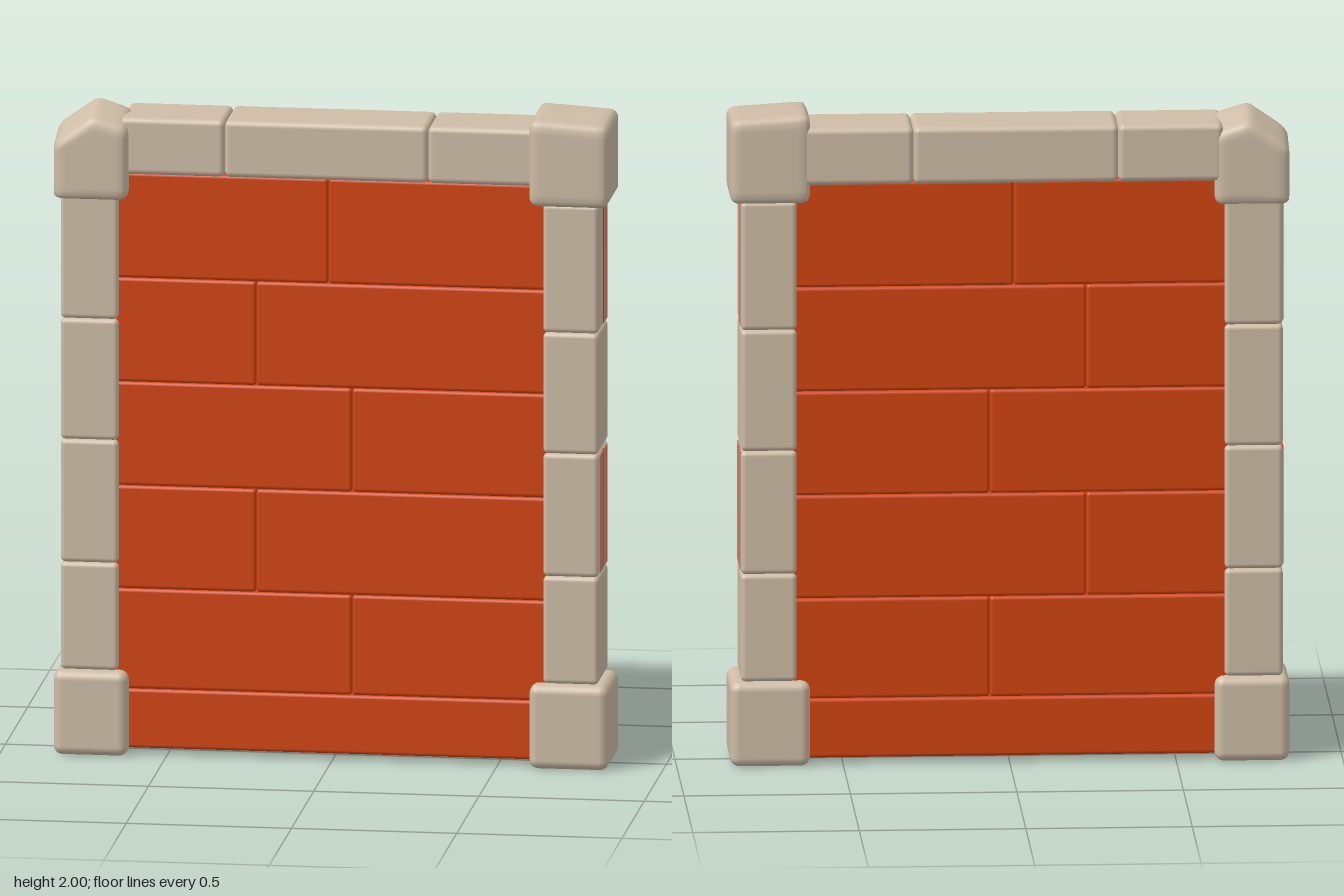
import * as THREE from 'three';
import { mergeVertices } from 'three/addons/utils/BufferGeometryUtils.js';
import { RoundedBoxGeometry } from 'three/addons/geometries/RoundedBoxGeometry.js';

export function createModel() {
  const model = new THREE.Group();
  model.name = 'brickWallPanel';

  const mat = (name, color) => {
    const m = new THREE.MeshStandardMaterial({ color });
    m.name = name;
    return m;
  };
  const stone = mat('paleStone', 0xcebca6);
  const brick = mat('orangeBrick', 0xd04410);
  const faded = mat('fadedBrick', 0xce8468);

  const add = (name, geometry, material) => {
    const mesh = new THREE.Mesh(geometry, material);
    mesh.name = name;
    model.add(mesh);
    return mesh;
  };

  // Rounded block given by its extents on each axis
  const block = (name, material, [x0, x1], [y0, y1], [z0, z1], r) => {
    const mesh = add(name, new RoundedBoxGeometry(x1 - x0, y1 - y0, z1 - z0, 3, r), material);
    mesh.position.set((x0 + x1) / 2, (y0 + y1) / 2, (z0 + z1) / 2);
    return mesh;
  };

  // Rounded corner stone whose upper part follows a height rule top(x, z)
  const shapedBlock = (name, [x0, x1], [y0, y1], [z0, z1], r, top) => {
    let g = new THREE.BoxGeometry(x1 - x0, y1 - y0, z1 - z0, 14, 14, 14);
    g.deleteAttribute('normal');
    g.deleteAttribute('uv');
    g = mergeVertices(g);
    const half = new THREE.Vector3(x1 - x0, y1 - y0, z1 - z0).multiplyScalar(0.5).subScalar(r);
    const centre = new THREE.Vector3((x0 + x1) / 2, (y0 + y1) / 2, (z0 + z1) / 2);
    const p = new THREE.Vector3();
    const inner = new THREE.Vector3();
    const pos = g.attributes.position;
    for (let i = 0; i < pos.count; i++) {
      p.fromBufferAttribute(pos, i);
      inner.copy(p).clamp(half.clone().negate(), half);
      p.sub(inner);
      if (p.length() > 0) p.setLength(r);
      p.add(inner).add(centre);
      const t = (p.y - y0) / (y1 - y0);
      p.y = y0 + t * (top(p.x, p.z) - y0);
      pos.setXYZ(i, p.x, p.y, p.z);
    }
    g.computeVertexNormals();
    add(name, g, stone);
  };

  // Corner stones
  const cornerZ = [-0.13, 0.13];
  block('bottomRightCorner', stone, [-0.84, -0.615], [0, 0.26], cornerZ, 0.028);
  block('bottomLeftCorner', stone, [0.6, 0.84], [0, 0.26], cornerZ, 0.028);
  shapedBlock('topLeftCorner', [0.6, 0.84], [1.73, 2], cornerZ, 0.025,
    (x, z) => 2 - 0.06 * (x - 0.6) - 0.05 * Math.max(0, z));
  shapedBlock('peakedCorner', [-0.84, -0.615], [1.71, 2], cornerZ, 0.028,
    (x, z) => 2 - 0.7 * Math.max(0, -0.72 - x) - 0.3 * Math.max(0, x + 0.72) - 0.3 * Math.abs(z));

  // Side columns
  const columnY = [0.26, 0.59, 0.968, 1.34, 1.735];
  for (let i = 0; i < 4; i++) {
    const y = [columnY[i], columnY[i + 1]];
    block('rightColumnStone', stone, [-0.82, -0.645], y, [-0.115, 0.105], 0.015);
    block('leftColumnStone', stone, [0.64, 0.808], y, [-0.115, 0.105], 0.015);
  }

  // Top beam
  const beamX = [-0.64, -0.325, 0.29, 0.63];
  for (let i = 0; i < 3; i++) {
    block('topBeamStone', stone, [beamX[i], beamX[i + 1]], [1.785, 1.96], [-0.125, 0.095], 0.018);
  }

  // Brick courses, each with its joint position
  const courseY = [0.02, 0.202, 0.51, 0.827, 1.146, 1.466, 1.79];
  const joints = [null, 0.06, -0.23, 0.06, -0.23, -0.012];
  joints.forEach((joint, i) => {
    const xs = joint === null ? [-0.66, 0.66] : [-0.66, joint, 0.66];
    for (let k = 0; k < xs.length - 1; k++) {
      block('brick', brick, [xs[k], xs[k + 1]], [courseY[i], courseY[i + 1]], [-0.095, 0.085], 0.011);
    }
  });

  // Thin brick faces showing on the outer sides of the columns
  const plate = (name, material, x, [y0, y1], [z0, z1]) => {
    const mesh = add(name, new THREE.BoxGeometry(0.006, y1 - y0, z1 - z0), material);
    mesh.position.set(x, (y0 + y1) / 2, (z0 + z1) / 2);
  };
  const low = [0.6, 0.962];
  const high = [1.35, 1.728];
  const back = [-0.09, -0.018];
  plate('leftSidePlate', faded, 0.807, low, back);
  plate('leftSidePlate', faded, 0.807, low, [0.002, 0.077]);
  plate('leftSidePlate', faded, 0.807, high, back);
  for (const y of [low, high]) {
    plate('leftSideJoint', brick, 0.806, y, [-0.018, 0.002]);
    plate('rightSidePlate', brick, -0.819, y, [-0.09, 0]);
  }
  return model;
}
